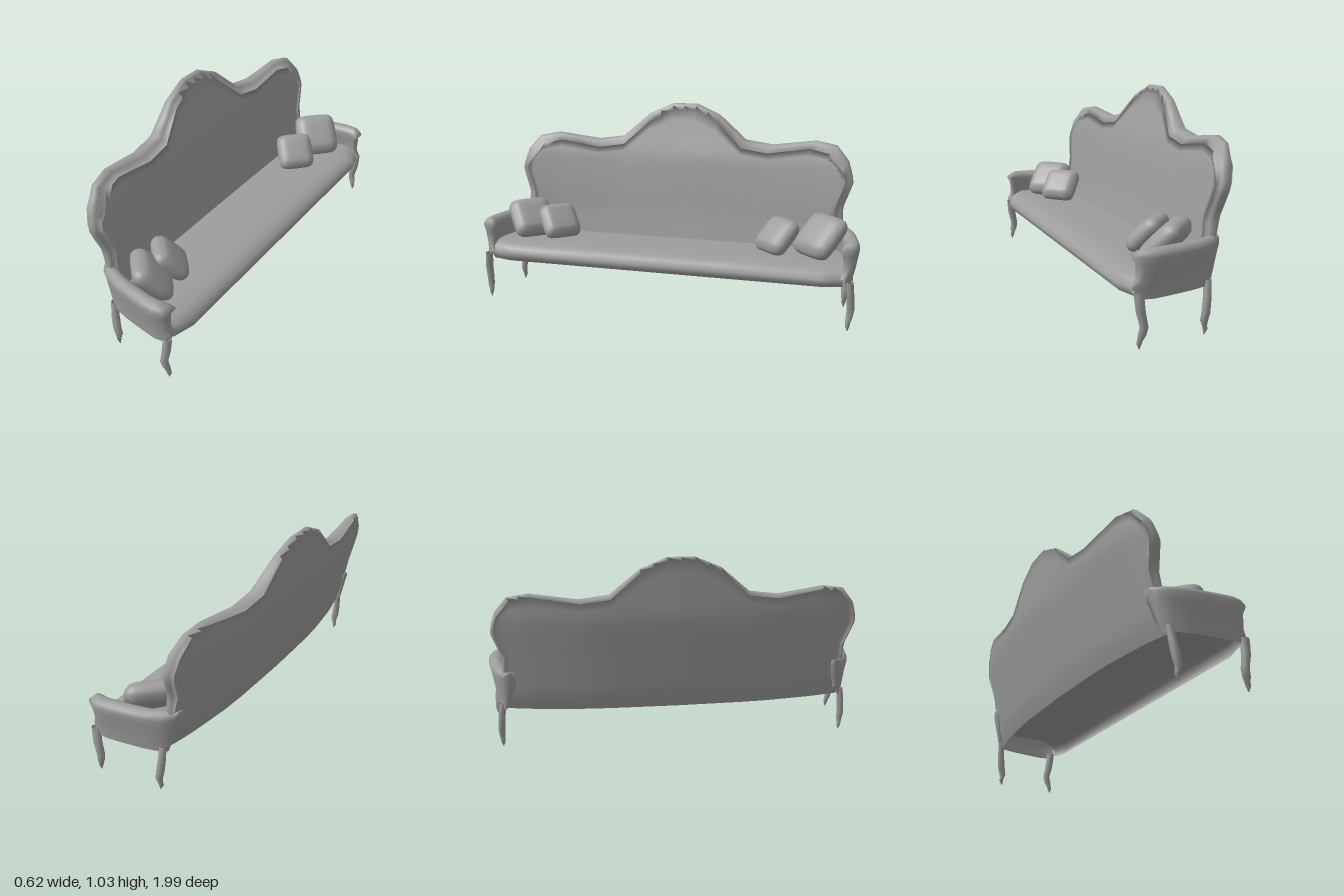
import * as THREE from 'three';
import { mergeVertices, mergeGeometries } from 'three/addons/utils/BufferGeometryUtils.js';

const material = new THREE.MeshStandardMaterial({ color: 0x9d9d9d, side: THREE.DoubleSide });

// Piecewise linear curve through [input, output] pairs
function curve(points, t) {
  if (t <= points[0][0]) return points[0][1];
  for (let i = 1; i < points.length; i++) {
    const [a, fa] = points[i - 1], [b, fb] = points[i];
    if (t <= b) return fa + ((fb - fa) * (t - a)) / (b - a);
  }
  return points[points.length - 1][1];
}

// Surface through rows of points that all have the same length
function skin(rows) {
  const n = rows[0].length, index = [];
  for (let i = 0; i < rows.length - 1; i++) {
    for (let j = 0; j < n - 1; j++) {
      const a = i * n + j, b = a + n;
      index.push(a, b, a + 1, a + 1, b, b + 1);
    }
  }
  const g = new THREE.BufferGeometry();
  g.setAttribute('position', new THREE.Float32BufferAttribute(rows.flat(2), 3));
  g.setIndex(index);
  return g;
}

function smooth(...parts) {
  const g = mergeVertices(parts.length > 1 ? mergeGeometries(parts) : parts[0], 1e-4);
  g.computeVertexNormals();
  return g;
}

function add(parent, name, geometry) {
  const mesh = new THREE.Mesh(geometry, material);
  mesh.name = name;
  parent.add(mesh);
}

// Backrest: scalloped outline, raked and curved forward at both ends
const crest = [[0, 1.033], [0.075, 1.033], [0.22, 0.975], [0.385, 0.845], [0.55, 0.825], [0.81, 0.858], [0.93, 0.838], [1, 0.76]];
const halfWidth = [[0.22, 0.9], [0.44, 0.895], [0.52, 0.89], [0.6, 0.92], [0.66, 0.94], [0.76, 0.91]];
const rearX = [[0.22, -0.17], [0.3, -0.2], [0.73, -0.29], [1.03, -0.31]];
const frontX = [[0.3, -0.1], [0.44, -0.13], [0.6, -0.155], [0.75, -0.182], [0.85, -0.215], [1.03, -0.268]];
const wrap = [[0, 0], [0.35, 0.006], [0.5, 0.015], [0.74, 0.045], [0.88, 0.075], [0.95, 0.085]];
const frontWrap = [[0.3, 0.2], [0.5, 0.45], [1, 0.5]];

function backPoint(u, v, depth, inset) {
  const bottom = 0.22 + 0.08 * depth;
  const y = bottom + v * (curve(crest, Math.abs(u)) - inset - bottom);
  const z = u * (curve(halfWidth, y) - inset);
  const bend = curve(wrap, Math.abs(z));
  const x = THREE.MathUtils.lerp(curve(rearX, y) + bend, curve(frontX, y) + bend * curve(frontWrap, y), depth);
  return [x, y, z];
}

function backrest() {
  const half = [0.075, 0.15, 0.22, 0.3, 0.385, 0.46, 0.55, 0.68, 0.81, 0.87, 0.93, 0.97, 1];
  const us = [...half.map((u) => -u).reverse(), 0, ...half];
  const vs = Array.from({ length: 15 }, (_, i) => i / 14);
  const face = (depth, inset) => skin(us.map((u) => vs.map((v) => backPoint(u, v, depth, inset))));
  const edge = [...vs.map((v) => [-1, v]), ...us.slice(1).map((u) => [u, 1]), ...vs.slice(0, -1).reverse().map((v) => [1, v])];
  const layers = [[0, 0.014], [0.2, 0], [0.6, 0], [0.85, 0.01], [1, 0.04]];
  const rim = skin(layers.map(([d, inset]) => edge.map(([u, v]) => backPoint(u, v, d, inset))));
  const front = face(1, 0.04);
  // Turn the front face round so that all winding agrees
  front.setIndex(Array.from(front.index.array).reverse());
  return smooth(face(0, 0.014), rim, front);
}

// Seat: thin cushion shell with a rolled front lip, open underneath
function seat() {
  const profile = [[-0.12, 0.305], [0, 0.312], [0.12, 0.315], [0.2, 0.315], [0.255, 0.306], [0.29, 0.288], [0.308, 0.262], [0.302, 0.238], [0.288, 0.222]];
  const stations = [-0.925, -0.88, -0.82, -0.4, 0, 0.4, 0.82, 0.88, 0.925];
  return smooth(skin(stations.map((z) => {
    const pull = Math.max(0, Math.abs(z) - 0.82) / 0.105;
    return profile.map(([x, y]) => [x > 0.2 ? x - 0.03 * pull : Math.max(x, -0.12 + 0.04 * pull), y, z]);
  })));
}

// Arm: rolled section swept forward, with a scrolled front end
const armOuter = [[-0.17, 0.888], [-0.12, 0.925], [-0.08, 0.948], [0, 0.97], [0.12, 0.99], [0.2, 1], [0.25, 0.99], [0.29, 0.972]];
const armBack = [[0.22, -0.115], [0.3, -0.135], [0.437, -0.165]];
const armFront = [[0.22, 0.25], [0.265, 0.287], [0.3, 0.262], [0.37, 0.262], [0.41, 0.285], [0.437, 0.235]];
const armSection = [[-0.03, 0.22], [-0.025, 0.265], [-0.02, 0.3], [-0.008, 0.37], [0, 0.405], [-0.008, 0.425], [-0.025, 0.437],
  [-0.05, 0.437], [-0.07, 0.425], [-0.078, 0.405], [-0.072, 0.37], [-0.066, 0.3], [-0.066, 0.265]];

function arm(side) {
  const ring = (t, squeeze) => armSection.map(([offset, y]) => {
    const x = THREE.MathUtils.lerp(curve(armBack, y), curve(armFront, y), t);
    const z = curve(armOuter, x) + THREE.MathUtils.lerp(offset, -0.042, squeeze);
    return [x, y, side * z];
  });
  const stations = [[0, 1], [0, 0], [0.12, 0], [0.3, 0], [0.5, 0], [0.7, 0], [0.85, 0], [0.96, 0.05], [1, 0.35], [1, 1]];
  return smooth(skin(stations.map(([t, s]) => ring(t, s))));
}

// Leg: cabriole taper; each row is y, centre x, centre z, half depth, half width
const frontLeg = [[0.25, 0.262, 0.958, 0.024, 0.018], [0.17, 0.255, 0.965, 0.023, 0.019], [0.1, 0.24, 0.968, 0.02, 0.018],
  [0.065, 0.247, 0.963, 0.02, 0.016], [0.04, 0.254, 0.958, 0.013, 0.012], [0.025, 0.258, 0.957, 0.012, 0.011], [0, 0.257, 0.957, 0.002, 0.002]];
const rearLeg = [[0.25, -0.097, 0.908, 0.018, 0.016], [0.17, -0.092, 0.918, 0.02, 0.019], [0.1, -0.083, 0.924, 0.022, 0.018],
  [0.065, -0.075, 0.924, 0.019, 0.016], [0.04, -0.079, 0.922, 0.012, 0.012], [0.025, -0.083, 0.921, 0.012, 0.011], [0, -0.077, 0.921, 0.002, 0.002]];

function leg(rows, side) {
  return smooth(skin(rows.map(([y, cx, cz, rx, rz]) => Array.from({ length: 9 }, (_, i) => {
    const a = (i / 8) * Math.PI * 2;
    return [cx + rx * Math.cos(a), y, side * (cz + rz * Math.sin(a))];
  }))));
}

// Pillow: puffed square with drawn-in corners, leaning back towards its arm
function pillow(size, thickness, [x, y, z]) {
  const g = new THREE.BoxGeometry(2, 2, 2, 10, 10, 4);
  const p = g.attributes.position;
  for (let i = 0; i < p.count; i++) {
    const a = p.getX(i), b = p.getY(i), c = p.getZ(i);
    const corner = 1 - 0.13 * a ** 4 * b ** 4, rim = 1 - 0.06 * c * c;
    const puff = 0.45 + 0.55 * Math.sqrt((1 - a ** 4) * (1 - b ** 4));
    p.setXYZ(i, a * corner * rim * size / 2, b * corner * rim * size / 2, c * puff * thickness / 2);
  }
  g.deleteAttribute('uv');
  g.deleteAttribute('normal');
  const side = Math.sign(z), tilt = 0.77;
  const normal = new THREE.Vector3(Math.SQRT1_2 * Math.cos(tilt), Math.sin(tilt), -side * Math.SQRT1_2 * Math.cos(tilt));
  const across = new THREE.Vector3(side * Math.SQRT1_2, 0, Math.SQRT1_2).multiplyScalar(side);
  const up = new THREE.Vector3().crossVectors(normal, across);
  g.applyMatrix4(new THREE.Matrix4().makeBasis(across, up, normal).setPosition(x, y, z));
  return smooth(g);
}

export function createModel() {
  const sofa = new THREE.Group();
  sofa.name = 'sofa';
  add(sofa, 'backrest', backrest());
  add(sofa, 'seat', seat());
  for (const side of [1, -1]) {
    const end = side > 0 ? 'left' : 'right';
    add(sofa, end + 'Arm', arm(side));
    add(sofa, end + 'FrontLeg', leg(frontLeg, side));
    add(sofa, end + 'RearLeg', leg(rearLeg, side));
  }
  add(sofa, 'leftSmallPillow', pillow(0.208, 0.1, [0.033, 0.393, 0.638]));
  add(sofa, 'leftLargePillow', pillow(0.235, 0.105, [0.05, 0.408, 0.795]));
  add(sofa, 'rightSmallPillow', pillow(0.208, 0.1, [0.033, 0.393, -0.575]));
  add(sofa, 'rightLargePillow', pillow(0.245, 0.11, [0.055, 0.412, -0.795]));
  return sofa;
}
